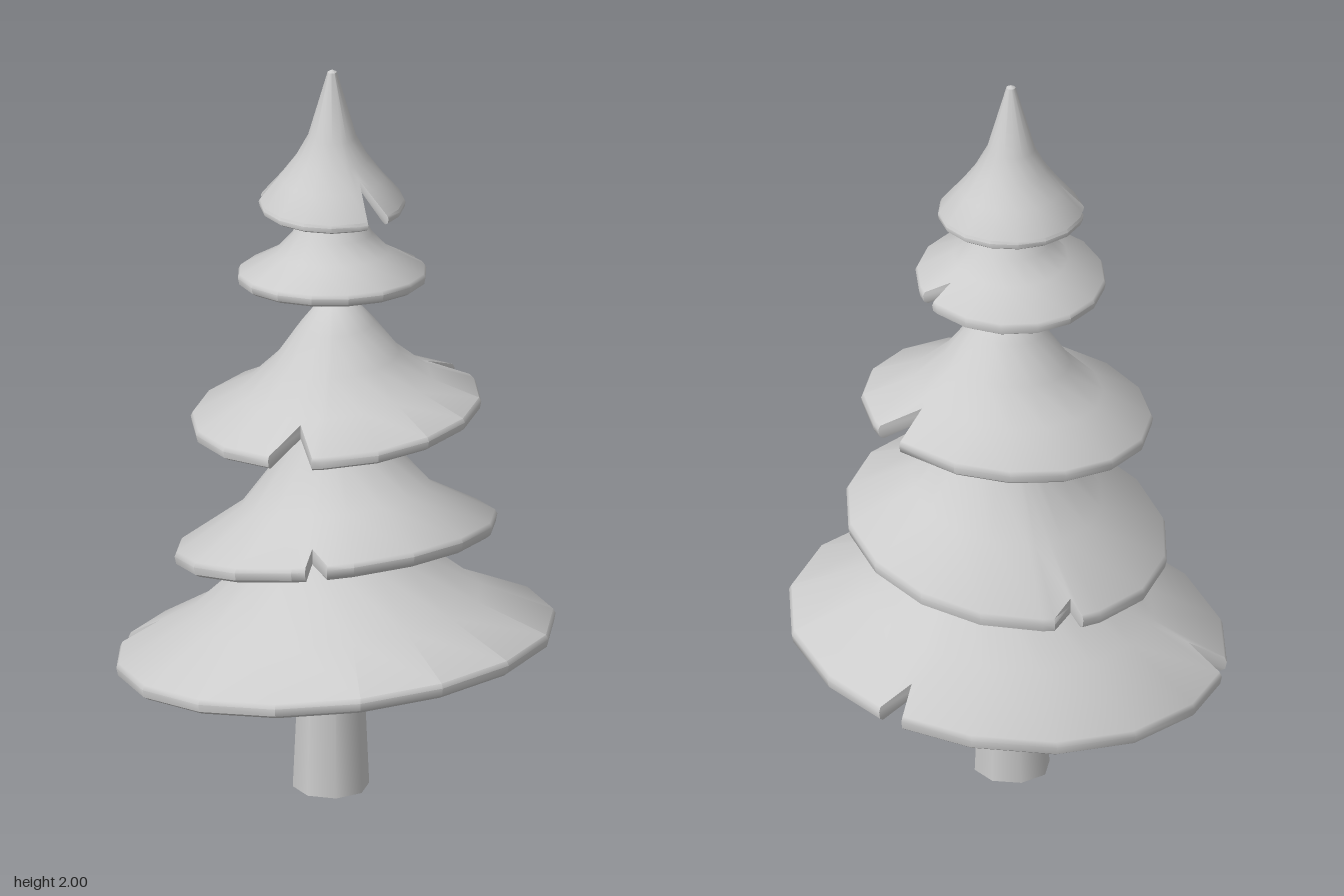
import * as THREE from 'three';
import { toCreasedNormals } from 'three/addons/utils/BufferGeometryUtils.js';

const SIDES = 16;
const RAD = Math.PI / 180;
const THIN = 0.008; // thickness of the branch shell above its lip

// Height of the upper surface at a given radius
function heightAt(profile, r) {
  const i = profile.findIndex(([radius]) => radius >= r);
  const [r0, y0] = profile[i - 1], [r1, y1] = profile[i];
  return y0 + (y1 - y0) * (r - r0) / (r1 - r0);
}

// Thin hollow bell with a rounded lip, tilted, with wedges cut out of the rim.
// profile: [radius, height] from apex to rim; tilt: rise per unit of x and z;
// notches: [start, tip, end, tip radius], angles in degrees from +x towards +z
function branchGeometry({ profile, lip, tilt, centre, phase, notches }) {
  const [R, rimY] = profile[profile.length - 1];
  const section = [
    ...profile.map(([r, y]) => [r, y, 0]),
    [R + lip * 0.15, rimY - lip * 0.3, lip / 2],
    [R + lip * 0.05, rimY - lip * 0.8, lip],
    [R - lip * 0.25, rimY - lip, lip],
    [R - lip * 0.7, rimY - lip * 0.8, lip],
    [R - lip, heightAt(profile, R - lip) - THIN * 2, THIN * 2],
    ...profile.slice(0, -1).reverse().map(([r, y]) => [r, y - THIN, THIN]),
  ];

  // Regular columns of points, replaced by three at each notch
  const columns = [];
  for (let i = 0; i < SIDES; i++) {
    const a = phase + i * 360 / SIDES;
    if (!notches.some(([start, , end]) => a > start - 4 && a < end + 4)) columns.push([a, Infinity]);
  }
  for (const [start, tip, end, radius] of notches) {
    columns.push([start, Infinity], [tip, radius], [end, Infinity]);
  }
  columns.sort((p, q) => p[0] - q[0]);

  const grid = columns.map(([a, limit]) => section.map(([r, y, drop]) => {
    const radius = Math.min(r, limit);
    const height = r > limit ? heightAt(profile, limit) - drop : y;
    const x = radius * Math.cos(a * RAD), z = radius * Math.sin(a * RAD);
    return new THREE.Vector3(x + centre[0], height + tilt[0] * x + tilt[1] * z, z + centre[1]);
  }));

  const points = [];
  const triangle = (a, b, c) => {
    if (new THREE.Triangle(a, b, c).getArea() > 1e-8) points.push(a, b, c);
  };
  grid.forEach((column, j) => {
    const next = grid[(j + 1) % grid.length];
    for (let i = 0; i < section.length - 1; i++) {
      triangle(column[i], next[i], column[i + 1]);
      triangle(next[i], next[i + 1], column[i + 1]);
    }
  });
  return toCreasedNormals(new THREE.BufferGeometry().setFromPoints(points), 0.75);
}

export function createModel() {
  const tree = new THREE.Group();
  tree.name = 'firTree';
  const grey = new THREE.MeshStandardMaterial({ color: 0xcccccc, side: THREE.DoubleSide });
  grey.name = 'plain grey';

  const add = (name, geometry) => {
    const mesh = new THREE.Mesh(geometry, grey);
    mesh.name = name;
    tree.add(mesh);
    return mesh;
  };

  // Tapered trunk, open at the bottom
  const height = 1.62;
  const trunkGeometry = new THREE.CylinderGeometry(0.028, 0.1, height, 8, 1, true).rotateY(8 * RAD);
  add('trunk', trunkGeometry).position.set(-0.013, height / 2, 0);

  // Five tiers of branches, from the ground up
  add('bottomBranches', branchGeometry({
    profile: [[0, 0.82], [0.11, 0.81], [0.15, 0.74], [0.23, 0.64], [0.38, 0.51], [0.567, 0.415]],
    lip: 0.042, tilt: [0.1, 0.08], centre: [0, 0], phase: 15.6,
    notches: [[192, 195.8, 199.7, 0.478], [304.7, 307.3, 311.5, 0.478]],
  }));
  add('lowerBranches', branchGeometry({
    profile: [[0, 1.075], [0.085, 1.06], [0.11, 1.02], [0.15, 0.94], [0.25, 0.815], [0.415, 0.715]],
    lip: 0.042, tilt: [0.12, 0.17], centre: [0, 0.012], phase: 15.6,
    notches: [[92.7, 99.5, 100.5, 0.355], [247.9, 249.9, 258.7, 0.375]],
  }));
  add('middleBranches', branchGeometry({
    profile: [[0, 1.372], [0.04, 1.362], [0.1, 1.29], [0.165, 1.2], [0.25, 1.122], [0.373, 1.063]],
    lip: 0.038, tilt: [0.09, 0.01], centre: [0, 0], phase: 5,
    notches: [[99.2, 109.4, 117.3, 0.27], [323.8, 331, 338, 0.27]],
  }));
  add('upperBranches', branchGeometry({
    profile: [[0, 1.645], [0.06, 1.635], [0.077, 1.6], [0.105, 1.545], [0.15, 1.495], [0.243, 1.444]],
    lip: 0.034, tilt: [0.01, 0.1], centre: [-0.01, 0.008], phase: 12,
    notches: [[331.2, 333, 342.4, 0.185]],
  }));
  add('topBranches', branchGeometry({
    profile: [[0, 2], [0.012, 1.993], [0.063, 1.815], [0.095, 1.755], [0.135, 1.7], [0.187, 1.638]],
    lip: 0.025, tilt: [0, 0], centre: [-0.01, 0], phase: 0,
    notches: [[180, 188, 194, 0.13], [39.4, 52, 60, 0.115]],
  }));
  return tree;
}
